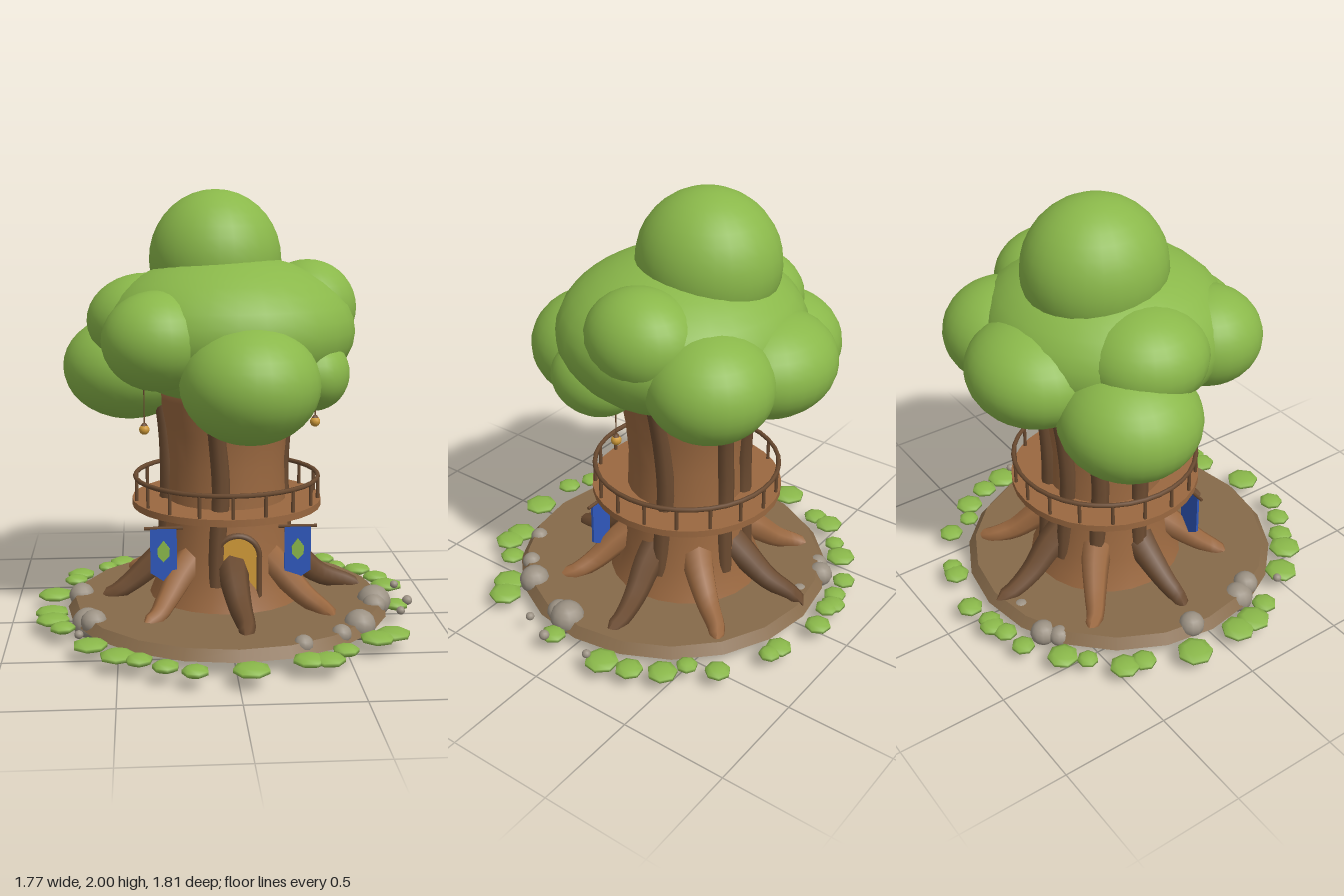
import * as THREE from 'three';

const mat = (name, color) => {
  const m = new THREE.MeshStandardMaterial({ color });
  m.name = name;
  return m;
};

export function createModel() {
  const leaf = mat('leaf green', 0x8ab84a);
  const wood = mat('warm wood', 0x9a6840);
  const bark = mat('dark bark', 0x6a4a30);
  const soil = mat('soil', 0x866a4a);
  const stone = mat('stone', 0x9c9284);
  const cloth = mat('blue cloth', 0x2f58bc);
  const gold = mat('warm gold', 0xd09a38);

  const model = new THREE.Group();
  model.name = 'treeHouse';
  const add = (parent, name, geometry, material, x = 0, y = 0, z = 0) => {
    const mesh = new THREE.Mesh(geometry, material);
    mesh.name = name;
    mesh.position.set(x, y, z);
    parent.add(mesh);
    return mesh;
  };
  const group = (name, x = 0, y = 0, z = 0) => {
    const g = new THREE.Group();
    g.name = name;
    g.position.set(x, y, z);
    model.add(g);
    return g;
  };

  // Tube whose radius follows radiusAt(t)
  const sweep = (points, radiusAt, segments, sides) => {
    const curve = new THREE.CatmullRomCurve3(points);
    const g = new THREE.TubeGeometry(curve, segments, 1, sides);
    const pos = g.attributes.position;
    const v = new THREE.Vector3();
    for (let i = 0; i <= segments; i++) {
      const t = i / segments;
      const c = curve.getPointAt(t);
      for (let j = 0; j <= sides; j++) {
        const k = i * (sides + 1) + j;
        v.fromBufferAttribute(pos, k).sub(c).multiplyScalar(radiusAt(t)).add(c);
        pos.setXYZ(k, v.x, v.y, v.z);
      }
    }
    return g;
  };
  // Angle in degrees, measured from the front towards +x
  const polar = (deg, r, y) => {
    const a = THREE.MathUtils.degToRad(deg);
    return new THREE.Vector3(Math.sin(a) * r, y, Math.cos(a) * r);
  };

  // Ground
  add(model, 'ground', new THREE.CylinderGeometry(0.715, 0.75, 0.045, 20), soil, 0.01, 0.088, -0.02);

  // Trunk
  const tree = group('trunkGroup', 0.01, 0, -0.1);
  const profile = [[0.37, 0.1], [0.345, 0.16], [0.315, 0.26], [0.295, 0.4], [0.28, 0.55],
    [0.272, 0.75], [0.285, 0.9], [0.31, 1.05], [0.34, 1.2], [0, 1.2]];
  add(tree, 'trunk', new THREE.LatheGeometry(profile.map(p => new THREE.Vector2(...p)), 24), wood);

  // Bark ridges
  for (const deg of [-12, 103, 163, 195, 228, 268]) {
    const path = [polar(deg - 1, 0.3, 0.22), polar(deg, 0.285, 0.42), polar(deg + 3, 0.272, 0.65),
      polar(deg, 0.278, 0.88), polar(deg - 4, 0.31, 1.1), polar(deg - 5, 0.33, 1.2)];
    add(tree, 'barkRidge', sweep(path, t => 0.036 + 0.006 * Math.sin(t * 3), 14, 8), bark);
  }

  // Roots, alternating dark and light
  for (let i = 0; i < 8; i++) {
    const deg = i * 45 + 2;
    const reach = [0.64, 0.62, 0.66, 0.64, 0.65, 0.62, 0.6, 0.6][i];
    const path = [polar(deg, 0.22, 0.34), polar(deg, 0.33, 0.265), polar(deg + 2, 0.45, 0.17),
      polar(deg + 3, reach - 0.07, 0.12), polar(deg + 1, reach, 0.095)];
    const radius = t => (t > 0.99 ? 0 : 0.082 - 0.05 * t);
    add(tree, 'root', sweep(path, radius, 12, 7), i % 2 ? wood : bark);
  }

  // Balcony with railing
  add(tree, 'balconyFloor', new THREE.CylinderGeometry(0.445, 0.445, 0.032, 32), wood, 0, 0.556, 0);
  const rail = add(tree, 'handrail', new THREE.TorusGeometry(0.43, 0.011, 6, 36), bark, 0, 0.676, 0);
  rail.rotation.x = Math.PI / 2;
  const postGeo = new THREE.CylinderGeometry(0.009, 0.009, 0.11, 6);
  for (let i = 0; i < 18; i++) {
    const p = polar(i * 20, 0.43, 0.62);
    add(tree, 'railPost', postGeo, bark, p.x, p.y, p.z);
  }

  // Arched door behind the front root
  const door = group('door', 0.04, 0.36, 0.2);
  const arch = new THREE.Shape();
  arch.moveTo(-0.095, -0.24);
  arch.lineTo(0.095, -0.24);
  arch.lineTo(0.095, 0);
  arch.absarc(0, 0, 0.095, 0, Math.PI, false);
  add(door, 'doorPanel', new THREE.ExtrudeGeometry(arch, { depth: 0.008, bevelEnabled: false }), gold);
  add(door, 'doorArch', new THREE.TorusGeometry(0.097, 0.015, 6, 16, Math.PI), bark);
  for (const s of [-1, 1]) {
    add(door, 'doorJamb', new THREE.CylinderGeometry(0.015, 0.015, 0.24, 6), bark, s * 0.097, -0.12, 0);
  }

  // Banners with a leaf patch
  const flag = new THREE.Shape([[-0.06, 0], [-0.06, -0.205], [0, -0.245], [0.06, -0.205], [0.06, 0]]
    .reverse().map(p => new THREE.Vector2(...p)));
  const patch = new THREE.Shape([[0, -0.05], [0.026, -0.022], [0.028, 0.012], [0, 0.05], [-0.028, 0.012], [-0.026, -0.022]]
    .map(p => new THREE.Vector2(...p)));
  for (const s of [-1, 1]) {
    const banner = group(s > 0 ? 'leftBanner' : 'rightBanner', 0.01 + s * 0.305, 0.493, 0.175);
    add(banner, 'bannerCloth', new THREE.ExtrudeGeometry(flag, { depth: 0.012, bevelEnabled: false }), cloth);
    add(banner, 'leafPatch', new THREE.ExtrudeGeometry(patch, { depth: 0.008, bevelEnabled: false }), leaf, 0, -0.103, 0.012);
    const rod = add(banner, 'bannerRod', new THREE.CylinderGeometry(0.008, 0.008, 0.175, 6), bark, 0, 0.002, 0.005);
    rod.rotation.z = Math.PI / 2;
  }

  // Hanging lanterns
  for (const [x, y, z] of [[0.415, 0.94, -0.01], [-0.375, 0.92, 0.03]]) {
    const lantern = group('lantern', x, y, z);
    add(lantern, 'lanternGlobe', new THREE.SphereGeometry(0.024, 10, 8), gold);
    add(lantern, 'lanternCap', new THREE.CylinderGeometry(0.008, 0.016, 0.012, 8), bark, 0, 0.024, 0);
    add(lantern, 'lanternCord', new THREE.CylinderGeometry(0.003, 0.003, 0.24, 5), bark, 0, 0.14, 0);
  }

  // Leaf crown: centre and radii of each clump
  const crown = group('crown');
  const clumpGeo = new THREE.SphereGeometry(1, 28, 18);
  const clumps = [
    [0.02, 1.365, -0.08, 0.58, 0.345, 0.55],
    [-0.037, 1.68, -0.175, 0.307, 0.32, 0.326],
    [0.08, 1.175, 0.36, 0.305, 0.26, 0.315],
    [-0.44, 1.17, -0.28, 0.315, 0.25, 0.31],
    [-0.31, 1.35, 0.22, 0.25, 0.22, 0.25],
    [-0.36, 1.4, -0.15, 0.275, 0.22, 0.28],
    [0.38, 1.19, 0.13, 0.165, 0.17, 0.215],
    [0.39, 1.46, -0.14, 0.225, 0.22, 0.26],
    [0.31, 1.3, -0.43, 0.28, 0.24, 0.28],
    [-0.04, 1.29, -0.5, 0.32, 0.23, 0.29],
  ];
  for (const [x, y, z, a, b, c] of clumps) add(crown, 'leafClump', clumpGeo, leaf, x, y, z).scale.set(a, b, c);

  // Rocks: x, z, radius
  const rocks = group('rocks');
  const rockGeo = new THREE.SphereGeometry(1, 12, 9);
  const rockList = [[-0.68, -0.1, 0.06], [-0.64, 0.21, 0.072], [-0.61, 0.28, 0.06], [-0.67, 0.43, 0.02],
    [0.69, 0.08, 0.08], [0.68, 0.14, 0.055], [0.85, 0.08, 0.024], [0.79, 0.22, 0.02], [0.57, 0.39, 0.072],
    [0.47, 0.5, 0.045], [0.29, 0.61, 0.043], [0.835, -0.155, 0.02], [-0.31, -0.67, 0.06], [-0.37, -0.62, 0.05],
    [-0.12, -0.67, 0.05]];
  rockList.forEach(([x, z, r], i) => {
    const y = i === 1 ? 0.068 : i > 11 ? 0.07 : 0.095;
    const rock = add(rocks, 'rock', rockGeo, stone, x, y, z);
    rock.scale.set(r, r * 0.95, r);
    rock.rotation.y = i;
  });

  // Ring of flat leafy tufts: x, z, radius in hundredths
  const tufts = group('tufts');
  const tuftGeo = new THREE.SphereGeometry(1, 7, 5);
  const tuftList = [[-33, -79, 5.5], [-21, -81, 5.5], [-14, -84, 6], [-10, -83, 5.5], [3, -86, 6.2], [27, -80, 6.2],
    [33, -79, 5], [56, -67, 6], [61, -54, 5], [71, -48, 7], [78, -35, 6.5], [81, -22, 8], [80, 7, 6],
    [71, 45, 8], [63, 50, 8], [47, 63, 6], [38, 73, 7.5], [30, 73, 7.5], [5, 82, 8.3], [-18, 82, 6],
    [-30, 76, 6], [-41, 68, 6.2], [-50, 63, 8], [-62, 50, 8], [-75, 28, 6], [-80, 17, 8], [-81, 7, 8],
    [-81, -18, 8.5], [-72, -40, 6], [-70, -49, 7], [-57, -60, 5], [-49, -68, 7.3]];
  tuftList.forEach(([x, z, r], i) => {
    const tuft = add(tufts, 'tuft', tuftGeo, leaf, x / 100, 0.072, z / 100);
    tuft.scale.set(r / 100, 0.024, r / 100);
    tuft.rotation.y = i * 1.7;
  });

  return model;
}
